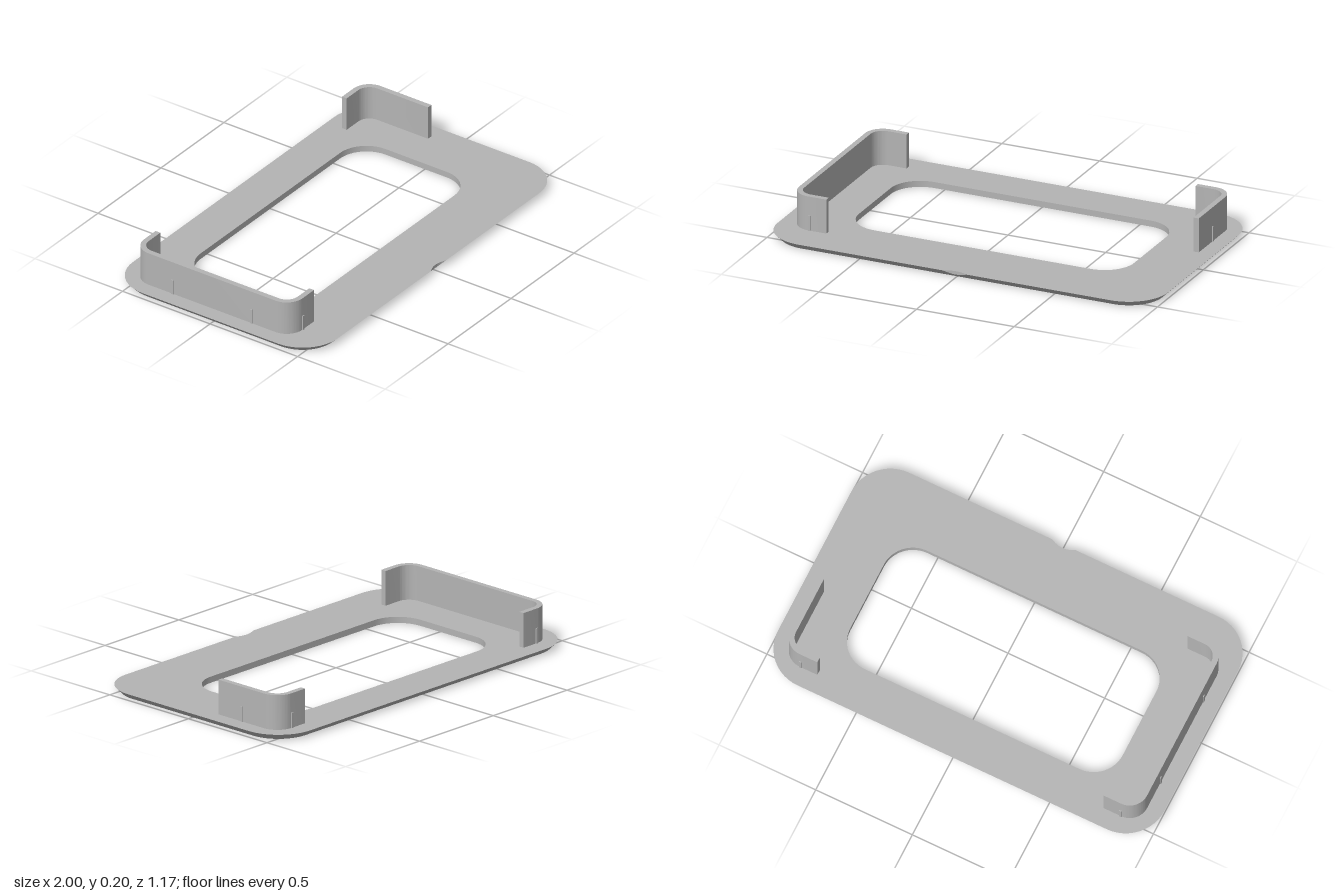
import * as THREE from 'three';
import { toCreasedNormals } from 'three/addons/utils/BufferGeometryUtils.js';

const TOP = 0.03, HEIGHT = 0.2, OUT = 0.922, IN = 0.895, END = 0.74;
const BACK = 0.498, FRONT = -0.407, WALL = 0.027, R = 0.09;

// Rounded rectangle as points (x, -z), counter-clockwise
function roundedLoop(x, y0, y1, r, frontPoints = []) {
  const pts = [...frontPoints];
  [[x - r, y0 + r, -1], [x - r, y1 - r, 0], [r - x, y1 - r, 1], [r - x, y0 + r, 2]].forEach(([cx, cy, q]) => {
    for (let i = 0; i <= 12; i++) {
      const a = (q + i / 12) * Math.PI / 2;
      pts.push(new THREE.Vector2(cx + r * Math.cos(a), cy + r * Math.sin(a)));
    }
  });
  return pts;
}

// Plate outline inset by o, with a shallow finger scoop in the front edge
const scoopSteps = 12, scoopHalf = 0.06, scoopDepth = 0.017;
const scoop = x => scoopDepth * (1 - (x / scoopHalf) ** 2);
function outline(o, scooped) {
  const front = [];
  for (let i = 0; i <= scoopSteps; i++) {
    const x = scoopHalf * (2 * i / scoopSteps - 1);
    front.push(new THREE.Vector2(x, -0.585 + (scooped ? scoop(x) : o)));
  }
  return roundedLoop(1 - o, -0.585 + o, 0.585 - o, 0.2 - o, front);
}

// Band of faces between two loops; heights may vary per point
function band(lower, upper, lowY, highY) {
  const pos = [], n = lower.length;
  const put = (p, y) => pos.push(p.x, y, -p.y);
  for (let i = 0; i < n; i++) {
    const j = (i + 1) % n;
    put(lower[i], lowY(i)); put(lower[j], lowY(j)); put(upper[j], highY(j));
    put(lower[i], lowY(i)); put(upper[j], highY(j)); put(upper[i], highY(i));
  }
  const g = new THREE.BufferGeometry();
  g.setAttribute('position', new THREE.Float32BufferAttribute(pos, 3));
  return toCreasedNormals(g, 0.5);
}

function cap(loop, hole, y, down) {
  const shape = new THREE.Shape(loop);
  shape.holes.push(new THREE.Path(hole));
  const g = new THREE.ShapeGeometry(shape);
  g.rotateX(-Math.PI / 2);
  if (down) {
    const a = g.index.array;
    for (let i = 0; i < a.length; i += 3) [a[i], a[i + 1]] = [a[i + 1], a[i]];
    g.computeVertexNormals();
  }
  return g.translate(0, y, 0);
}

export function createModel() {
  const model = new THREE.Group();
  model.name = 'bezelFrame';
  const grey = new THREE.MeshStandardMaterial({ color: 0xb4b4b4 });
  grey.name = 'grey';
  const add = (name, geometry, parent = model) => {
    const m = new THREE.Mesh(geometry, grey);
    m.name = name;
    parent.add(m);
    return m;
  };

  // Bevelled plate with an offset opening
  const plate = new THREE.Group();
  plate.name = 'plate';
  model.add(plate);
  const base = outline(0.03, false), rim = outline(0, true);
  const hole = roundedLoop(0.705, -0.277, 0.375, 0.15);
  const drop = i => (i <= scoopSteps ? TOP - scoop(rim[i].x) : TOP);
  add('plateTop', cap(rim, hole, TOP, false), plate);
  add('plateBottom', cap(base, hole, 0, true), plate);
  add('plateBevel', band(base, rim, () => 0, drop), plate);
  // Upright face of the scoop, only where the rim is cut
  add('fingerScoop', band(rim.slice(0, scoopSteps + 1), rim.slice(0, scoopSteps + 1), drop, () => TOP), plate);
  const inner = [...hole].reverse();
  add('openingWall', band(inner, inner, () => 0, () => TOP), plate);

  // Upright corner walls
  const ri = R - WALL, cx = OUT - R, H = Math.PI / 2;
  const raise = shape => {
    const g = new THREE.ExtrudeGeometry(shape, { depth: HEIGHT - TOP + 0.005, bevelEnabled: false, curveSegments: 12 });
    g.rotateX(-H).translate(0, TOP - 0.005, 0);
    return toCreasedNormals(g, 0.5);
  };
  const hook = new THREE.Shape();
  hook.moveTo(OUT, 0.118).lineTo(OUT, BACK - R);
  hook.absarc(cx, BACK - R, R, 0, H, false);
  hook.lineTo(END, BACK).lineTo(END, BACK - WALL).lineTo(cx, BACK - WALL);
  hook.absarc(cx, BACK - R, ri, H, 0, true);
  hook.lineTo(IN, 0.118);
  add('leftHookWall', raise(hook));

  const channel = new THREE.Shape();
  channel.moveTo(-END, BACK).lineTo(-cx, BACK);
  channel.absarc(-cx, BACK - R, R, H, 2 * H, false);
  channel.lineTo(-OUT, FRONT + R);
  channel.absarc(-cx, FRONT + R, R, 2 * H, 3 * H, false);
  channel.lineTo(-END, FRONT).lineTo(-END, FRONT + WALL).lineTo(-cx, FRONT + WALL);
  channel.absarc(-cx, FRONT + R, ri, 3 * H, 2 * H, true);
  channel.lineTo(-IN, BACK - R);
  channel.absarc(-cx, BACK - R, ri, 2 * H, H, true);
  channel.lineTo(-END, BACK - WALL);
  add('rightChannelWall', raise(channel));

  // Small grip ribs on the outer wall faces
  const ribs = [
    [OUT, -0.268, true], [-OUT, -0.27, true], [-OUT, 0.18, true],
    [0.828, -BACK, false], [-0.828, -BACK, false], [-0.828, -FRONT, false],
  ];
  for (const [x, z, side] of ribs) {
    const g = new THREE.BoxGeometry(side ? 0.009 : 0.012, 0.078, side ? 0.012 : 0.009);
    add('gripRib', g).position.set(x, TOP + 0.036, z);
  }
  return model;
}
